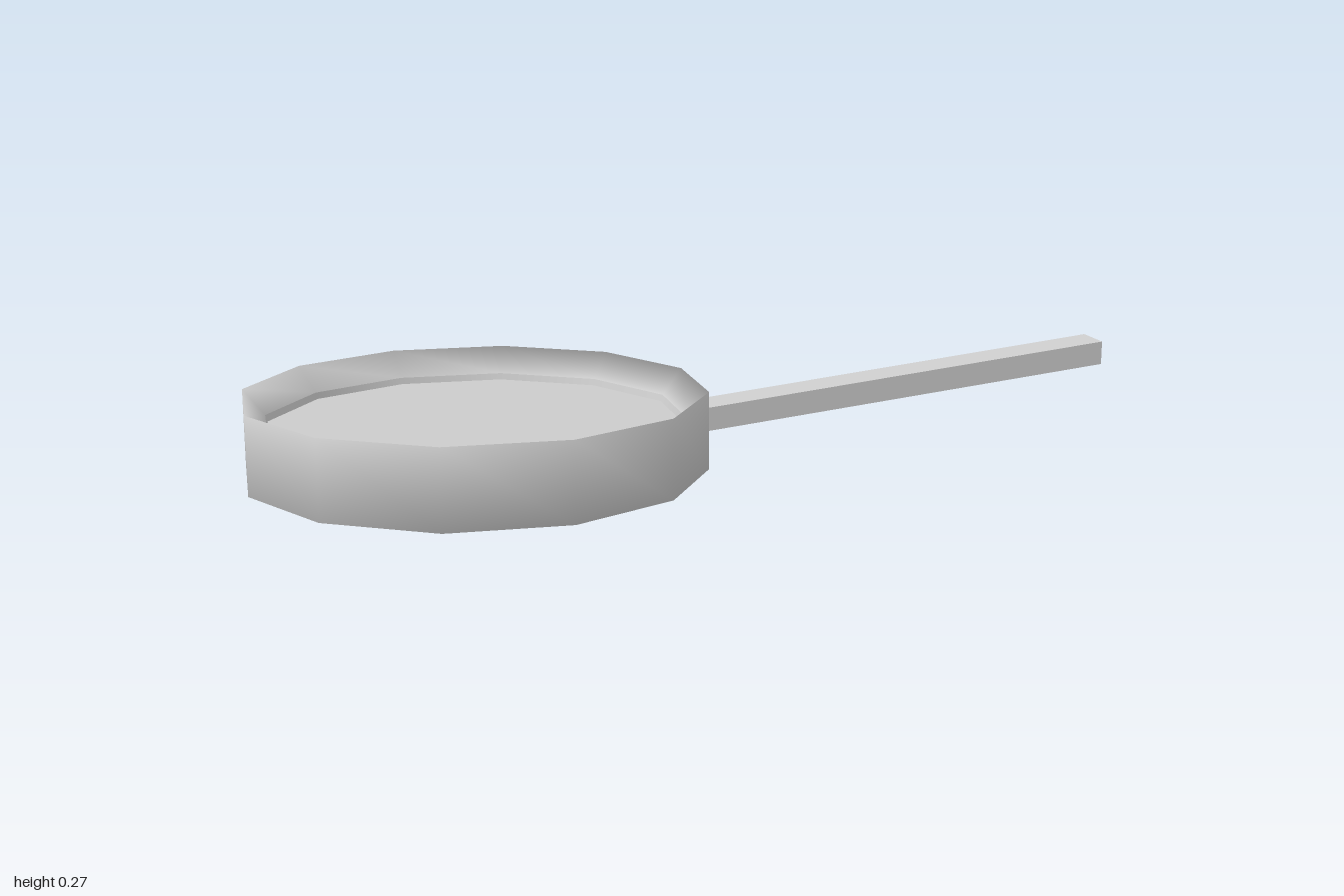
import * as THREE from 'three';

const SIDES = 12;

export function createModel() {
  const model = new THREE.Group();
  model.name = 'fryingPan';
  const metal = new THREE.MeshStandardMaterial({ color: 0xcccccc });
  metal.name = 'greyMetal';

  const pan = new THREE.Group();
  pan.name = 'pan';
  pan.position.x = -0.47;
  model.add(pan);

  const addTurned = (name, profile) => {
    const points = profile.map(([r, y]) => new THREE.Vector2(r, y));
    const mesh = new THREE.Mesh(new THREE.LatheGeometry(points, SIDES), metal);
    mesh.name = name;
    pan.add(mesh);
  };

  // Slightly domed underside
  addTurned('base', [[0, 0], [0.45, 0.01]]);
  // Outer wall, then the rim sloping inwards
  addTurned('wall', [[0.45, 0.01], [0.53, 0.03], [0.53, 0.21], [0.48, 0.15]]);
  // Short steep wall down to the floor
  addTurned('innerWall', [[0.48, 0.15], [0.475, 0.135]]);
  // Flat cooking surface
  addTurned('floor', [[0.475, 0.135], [0, 0.135]]);

  // Square handle, sheared upwards so that both ends stay vertical
  const bar = new THREE.BoxGeometry(1, 0.055, 0.1);
  const shear = new THREE.Matrix4().set(
    1, 0, 0, 0,
    0.115, 1, 0, 0,
    0, 0, 1, 0,
    0, 0, 0, 1
  );
  bar.applyMatrix4(shear);
  const handle = new THREE.Mesh(bar, metal);
  handle.name = 'handle';
  handle.position.set(0.504, 0.18, -0.262);
  handle.rotation.y = Math.PI / 12;
  model.add(handle);

  return model;
}
